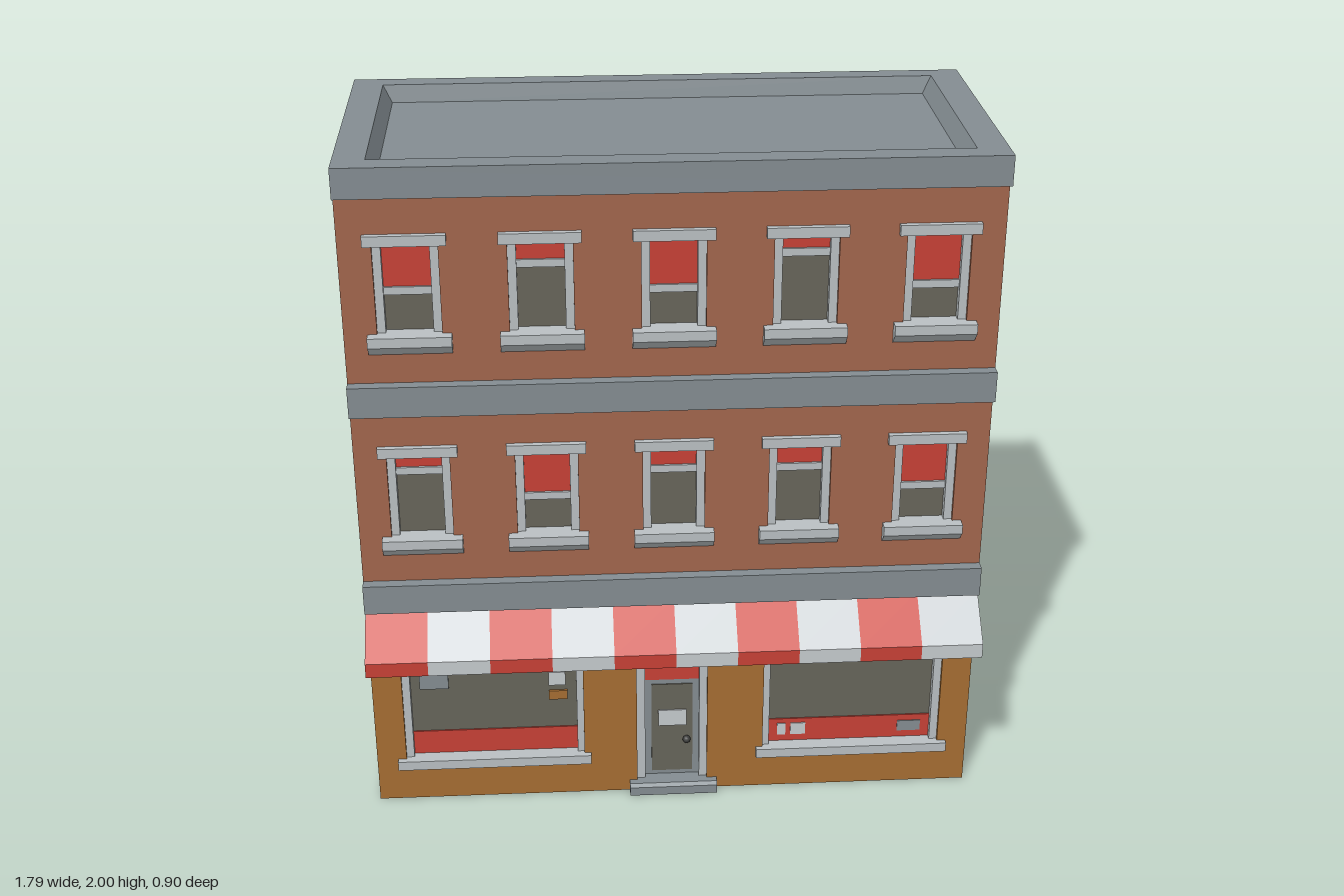
import * as THREE from 'three';

const W = 0.887, FRONT = 0.325, BACK = -0.42, WALL = 0.285, SPLIT = 0.71;

export function createModel() {
  const root = new THREE.Group();
  root.name = 'shopBuilding';

  const paint = (name, color) => {
    const m = new THREE.MeshStandardMaterial({ color });
    m.name = name;
    return m;
  };
  const brick = paint('brick', 0xa2664d);
  const ochre = paint('ochre plaster', 0xa66e33);
  const stone = paint('grey stone', 0x848d92);
  const trim = paint('pale trim', 0xbac0c3);
  const white = paint('awning white', 0xc6cbce);
  const red = paint('red', 0xc84136);
  const glass = paint('dull glass', 0x67655a);
  const dark = paint('dark metal', 0x3c3d3c);

  const add = (name, geo, mat, parent = root) => {
    const m = new THREE.Mesh(geo, mat);
    m.name = name;
    parent.add(m);
    return m;
  };
  const box = (name, mat, x0, x1, y0, y1, z0, z1, parent) => {
    const g = new THREE.BoxGeometry(x1 - x0, y1 - y0, z1 - z0);
    g.translate((x0 + x1) / 2, (y0 + y1) / 2, (z0 + z1) / 2);
    return add(name, g, mat, parent);
  };
  const rect = (x0, x1, y0, y1, Type = THREE.Shape) => new Type([
    [x0, y0], [x1, y0], [x1, y1], [x0, y1]].map(p => new THREE.Vector2(...p)));
  // Side profile given as [z, y] points, swept from x0 to x1
  const sweep = (name, mat, pts, x0, x1, parent) => {
    const s = new THREE.Shape(pts.map(p => new THREE.Vector2(...p)));
    const g = new THREE.ExtrudeGeometry(s, { depth: x1 - x0, bevelEnabled: false });
    g.rotateY(-Math.PI / 2).translate(x1, 0, 0);
    return add(name, g, mat, parent);
  };
  const wall = (name, mat, y0, y1, openings) => {
    const s = rect(-W, W, y0, y1);
    openings.forEach(o => s.holes.push(rect(...o, THREE.Path)));
    const g = new THREE.ExtrudeGeometry(s, { depth: FRONT - WALL, bevelEnabled: false });
    add(name, g.translate(0, 0, WALL), mat);
  };

  // Upper windows: sill height and lower edge of each blind
  const columns = [-0.71, -0.355, 0, 0.355, 0.71];
  const rows = [
    { y: 1.52, blinds: [1.65, 1.72, 1.64, 1.735, 1.635] },
    { y: 0.9, blinds: [1.11, 1.02, 1.095, 1.09, 1.02] },
  ];
  const upperHoles = [];
  for (const { y, blinds } of rows) {
    columns.forEach((x, i) => {
      const win = new THREE.Group();
      win.name = 'upperWindow';
      root.add(win);
      upperHoles.push([x - 0.087, x + 0.087, y - 0.01, y + 0.265]);
      box('windowGlass', glass, x - 0.07, x + 0.07, y - 0.01, y + 0.265, WALL, 0.293, win);
      box('blind', red, x - 0.064, x + 0.064, blinds[i], y + 0.265, 0.293, 0.298, win);
      box('sashBar', trim, x - 0.064, x + 0.064, blinds[i] - 0.022, blinds[i], 0.293, 0.305, win);
      for (const s of [-1, 1]) {
        const a = x + s * 0.064, b = x + s * 0.087;
        box('windowJamb', trim, Math.min(a, b), Math.max(a, b), y - 0.01, y + 0.265, WALL, 0.315, win);
      }
      box('lintel', trim, x - 0.11, x + 0.11, y + 0.257, y + 0.287, 0.3, 0.342, win);
      sweep('sill', trim, [[0.29, y + 0.003], [0.29, y - 0.055], [0.328, y - 0.055],
        [0.356, y - 0.025], [0.356, y + 0.003]], x - 0.113, x + 0.113, win);
    });
  }

  // Walls and the solid body behind them
  const shopHoles = [[-0.8, -0.268, 0.13, 0.455], [0.268, 0.8, 0.13, 0.455], [-0.11, 0.1, 0.03, 0.455]];
  wall('upperFrontWall', brick, SPLIT, 1.93, upperHoles);
  wall('lowerFrontWall', ochre, 0, SPLIT, shopHoles);
  box('upperBody', brick, -W, W, SPLIT, 1.93, BACK, WALL);
  box('lowerBody', ochre, -W, W, 0, SPLIT, BACK, WALL);

  // Stone bands on front and back
  for (const y of [0.67, 1.29]) {
    box('frontBand', stone, -W, W, y, y + 0.09, FRONT, 0.358);
    box('backBand', stone, -W, W, y, y + 0.09, -0.45, BACK);
  }

  // Cornice ring with a sloped roof recess
  const ring = rect(-W, W, -0.358, 0.45);
  ring.holes.push(rect(-0.8, 0.8, -0.29, 0.39, THREE.Path));
  const ringGeo = new THREE.ExtrudeGeometry(ring, { depth: 0.085, bevelEnabled: false });
  add('cornice', ringGeo.rotateX(-Math.PI / 2).translate(0, 1.915, 0), stone);
  box('roofDeck', stone, -0.8, 0.8, 1.92, 1.95, -0.39, 0.29);
  let slope = new THREE.CylinderGeometry(Math.SQRT2, Math.SQRT2 * 0.969, 0.05, 4, 1, true);
  slope.rotateY(Math.PI / 4).scale(-0.8, 1, 0.34).translate(0, 1.975, -0.05);
  slope = slope.toNonIndexed();
  slope.computeVertexNormals();
  add('parapetSlope', slope, stone);

  // Striped awning
  const step = W * 2 / 10;
  for (let i = 0; i < 10; i++) {
    sweep('awningStripe', i % 2 ? white : red,
      [[FRONT, 0.515], [0.45, 0.515], [0.45, 0.56], [FRONT, 0.67]],
      -W + i * step, -W + (i + 1) * step);
  }

  // Shop windows
  for (const s of [-1, 1]) {
    const shop = new THREE.Group();
    shop.name = 'shopWindow';
    root.add(shop);
    const span = (name, mat, a, b, ...rest) =>
      box(name, mat, Math.min(s * a, s * b), Math.max(s * a, s * b), ...rest, shop);
    span('shopGlass', glass, 0.268, 0.8, 0.13, 0.455, WALL, 0.293);
    span('displayPanel', red, 0.288, 0.777, 0.14, 0.22, 0.293, 0.297);
    span('shopJamb', trim, 0.268, 0.288, 0.13, 0.455, WALL, 0.315);
    span('shopJamb', trim, 0.777, 0.8, 0.13, 0.455, WALL, 0.315);
    span('shopLintel', trim, 0.248, 0.825, 0.445, 0.475, 0.29, 0.342);
    span('shopSill', trim, 0.248, 0.825, 0.112, 0.142, 0.29, 0.342);
  }

  // Blank notices behind the shop glass
  [[stone, -0.75, -0.665, 0.37, 0.425], [white, -0.37, -0.32, 0.37, 0.415],
    [ochre, -0.37, -0.315, 0.32, 0.35], [white, 0.315, 0.34, 0.165, 0.205],
    [white, 0.355, 0.4, 0.165, 0.205], [stone, 0.68, 0.75, 0.165, 0.2],
  ].forEach(([mat, ...r]) => box('notice', mat, ...r, 0.293, 0.3));

  // Door
  const door = new THREE.Group();
  door.name = 'door';
  root.add(door);
  box('doorLeaf', stone, -0.087, 0.079, 0.03, 0.375, WALL, 0.297, door);
  box('doorGlass', glass, -0.065, 0.058, 0.05, 0.36, 0.297, 0.3, door);
  box('transom', red, -0.087, 0.079, 0.375, 0.455, WALL, 0.297, door);
  box('doorNotice', white, -0.045, 0.04, 0.215, 0.27, 0.3, 0.304, door);
  box('doorJamb', trim, -0.11, -0.085, 0.03, 0.455, WALL, 0.315, door);
  box('doorJamb', trim, 0.077, 0.1, 0.03, 0.455, WALL, 0.315, door);
  box('doorLintel', trim, -0.133, 0.124, 0.445, 0.475, 0.29, 0.342, door);
  const knob = add('doorKnob', new THREE.SphereGeometry(0.012, 12, 8), dark, door);
  knob.position.set(0.04, 0.165, 0.306);
  sweep('doorStep', stone, [[0.29, 0], [0.356, 0], [0.356, 0.028], [0.345, 0.036], [0.29, 0.036]],
    -0.133, 0.13, door);

  // Exposed bricks on the +x side and the back
  for (const [o, y] of [[-0.185, 0.26], [-0.225, 0.2]]) {
    box('exposedBrick', ochre, W - 0.01, W + 0.012, y - 0.018, y + 0.018, o - 0.028, o + 0.028);
    const x = o - 0.42;
    box('exposedBrick', ochre, x - 0.028, x + 0.028, y - 0.018, y + 0.018, BACK - 0.012, BACK + 0.01);
  }

  return root;
}
